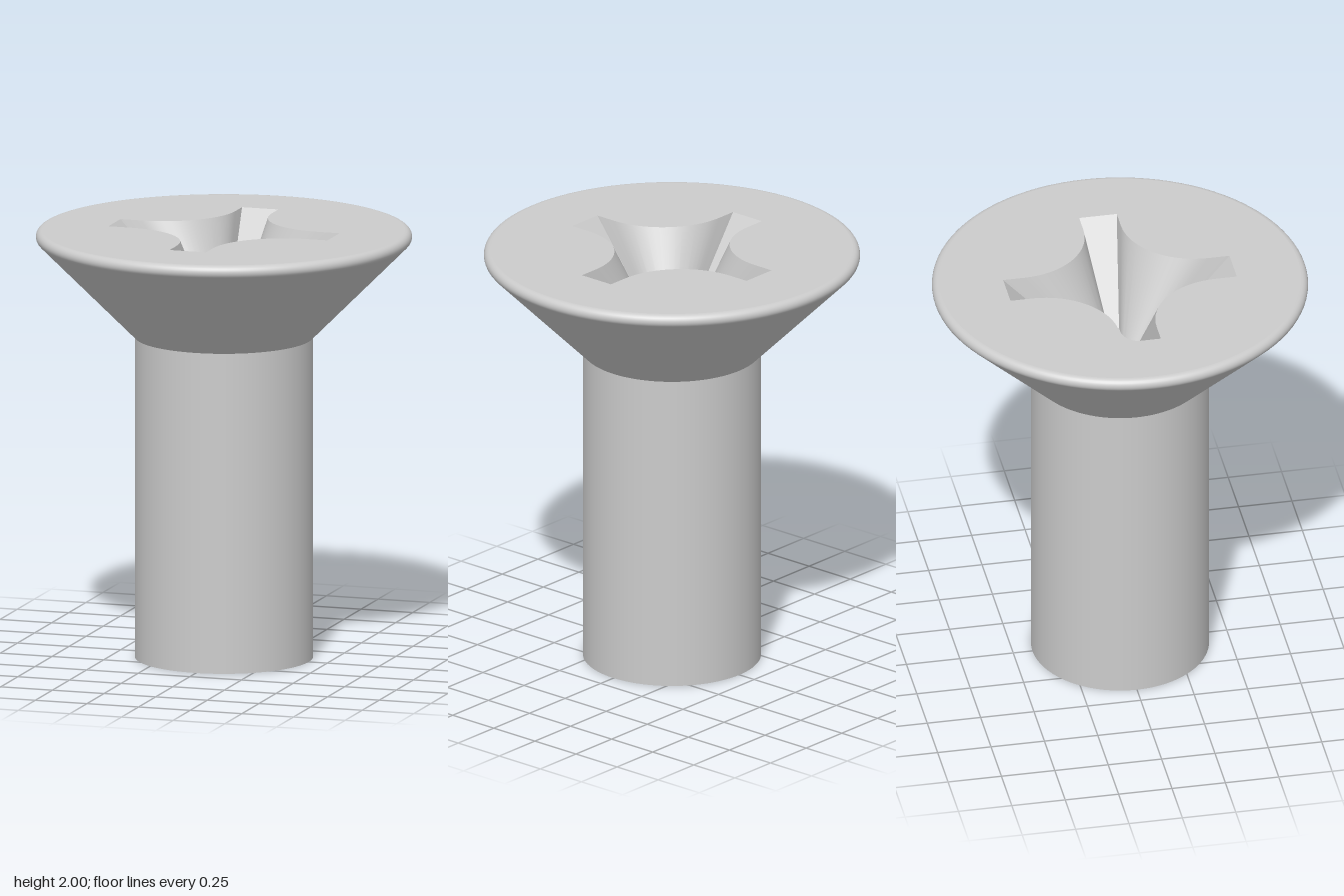
import * as THREE from 'three';
import { toCreasedNormals } from 'three/addons/utils/BufferGeometryUtils.js';

const SEGMENTS = 96;
const SHANK_R = 0.41, HEAD_Y = 1.5, TOP_Y = 2;
const RIM_R = 0.032, FLAT_R = 0.833;           // rounded rim and flat top radius
const RECESS_DEPTH = 0.38, RECESS_TAPER = 0.3; // floor outline = top outline * taper

// Cross outline: four square-ended arms joined by large concave fillets
function crossOutline() {
  const tip = 0.53, half = 0.088, c = 0.43, r = c - half, steps = 16;
  const points = [];
  for (let k = 0; k < 4; k++) {
    const arm = [new THREE.Vector2(tip, -half), new THREE.Vector2(tip, half)];
    for (let i = 0; i <= steps; i++) {
      const a = -Math.PI / 2 - (i / steps) * Math.PI / 2;
      arm.push(new THREE.Vector2(c + r * Math.cos(a), c + r * Math.sin(a)));
    }
    const centre = new THREE.Vector2();
    points.push(...arm.map((p) => p.rotateAround(centre, k * Math.PI / 2)));
  }
  return points;
}

// Tapered walls between the top outline and the smaller floor outline
function recessWalls(outline) {
  const at = (p, t) => {
    const s = 1 - t * (1 - RECESS_TAPER);
    return [p.x * s, TOP_Y - t * RECESS_DEPTH, -p.y * s];
  };
  const positions = [];
  outline.forEach((a, i) => {
    const b = outline[(i + 1) % outline.length];
    positions.push(...at(a, 0), ...at(b, 0), ...at(a, 1));
    positions.push(...at(b, 0), ...at(b, 1), ...at(a, 1));
  });
  const geometry = new THREE.BufferGeometry();
  geometry.setAttribute('position', new THREE.Float32BufferAttribute(positions, 3));
  return toCreasedNormals(geometry, Math.PI / 6);
}

// Flat face lying at a given height, facing up
function flatFace(shape, y) {
  return new THREE.ShapeGeometry(shape).rotateX(-Math.PI / 2).translate(0, y, 0);
}

export function createModel() {
  const group = new THREE.Group();
  const material = new THREE.MeshStandardMaterial({ color: 0xcccccc });
  const add = (name, geometry) => {
    const mesh = new THREE.Mesh(geometry, material);
    mesh.name = name;
    group.add(mesh);
  };

  // Plain cylindrical shank
  const shank = new THREE.CylinderGeometry(SHANK_R, SHANK_R, HEAD_Y, SEGMENTS);
  add('shank', shank.translate(0, HEAD_Y / 2, 0));

  // Countersunk cone running into the rounded rim
  const rim = [];
  for (let i = 0; i <= 10; i++) {
    const a = -Math.PI / 4 + (i / 10) * Math.PI * 0.75;
    rim.push(new THREE.Vector2(FLAT_R + RIM_R * Math.cos(a), TOP_Y - RIM_R + RIM_R * Math.sin(a)));
  }
  const base = new THREE.Vector2(SHANK_R, HEAD_Y);
  const support = base.clone().lerp(rim[0], 0.99); // keeps the cone shading even
  add('headCone', new THREE.LatheGeometry([base, support, ...rim], SEGMENTS));

  // Flat top with the cross-shaped opening
  const outline = crossOutline();
  const disc = [];
  for (let i = 0; i < SEGMENTS; i++) {
    const a = (i / SEGMENTS) * Math.PI * 2;
    disc.push(new THREE.Vector2(FLAT_R * Math.cos(a), FLAT_R * Math.sin(a)));
  }
  const top = new THREE.Shape(disc);
  top.holes.push(new THREE.Path(outline));
  add('headTop', flatFace(top, TOP_Y));

  // Driver recess
  add('recessWalls', recessWalls(outline));
  const floor = outline.map((p) => p.clone().multiplyScalar(RECESS_TAPER));
  add('recessFloor', flatFace(new THREE.Shape(floor), TOP_Y - RECESS_DEPTH));

  return group;
}
